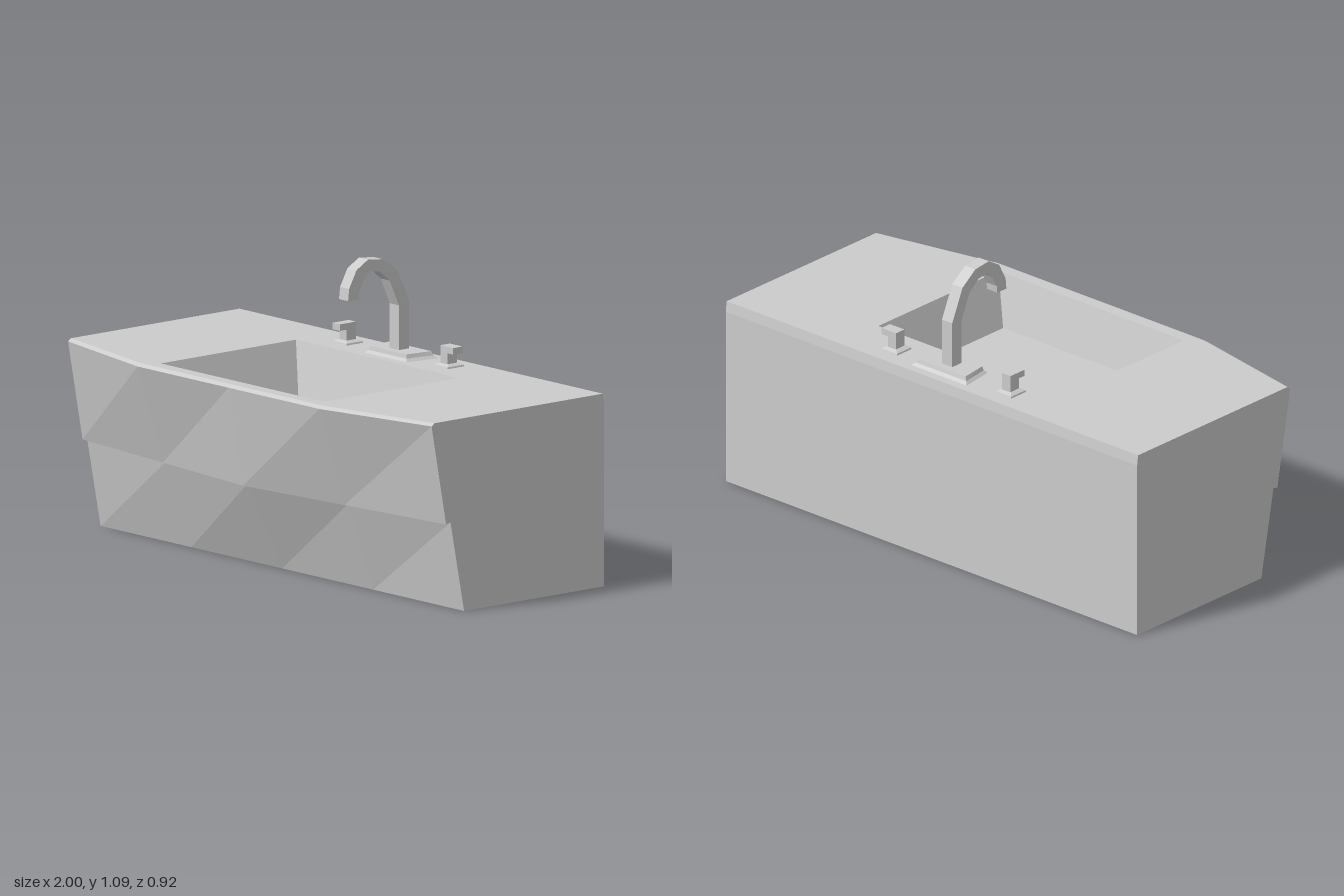
import * as THREE from 'three';

const material = new THREE.MeshStandardMaterial({ color: 0xcccccc, flatShading: true });

function addMesh(parent, geometry, name) {
  const mesh = new THREE.Mesh(geometry, material);
  mesh.name = name;
  parent.add(mesh);
  return mesh;
}

// Flat-faced geometry from a list of triangle corners
function fromTriangles(points) {
  const geometry = new THREE.BufferGeometry().setFromPoints(points);
  geometry.computeVertexNormals();
  return geometry;
}

const quad = (a, b, c, d) => [a, b, c, a, c, d];

// Four-sided rings [y, halfFront, halfBack, zFront, zBack] joined, last one capped
function loftRings(rings) {
  const corners = rings.map(([y, hf, hb, zf, zb]) => [
    new THREE.Vector3(-hf, y, zf), new THREE.Vector3(hf, y, zf),
    new THREE.Vector3(hb, y, zb), new THREE.Vector3(-hb, y, zb),
  ]);
  const tris = [];
  for (let k = 0; k + 1 < corners.length; k++) {
    const [p, q] = [corners[k], corners[k + 1]];
    for (let i = 0; i < 4; i++) {
      const n = (i + 1) % 4;
      tris.push(...quad(p[i], p[n], q[n], q[i]));
    }
  }
  tris.push(...quad(...corners[corners.length - 1]));
  return fromTriangles(tris);
}

function box(parent, name, w, h, d, x, y, z) {
  addMesh(parent, new THREE.BoxGeometry(w, h, d), name).position.set(x, y, z);
}

// Cabinet: side profiles (z, y) placed at five stations along x
const TOP = 0.71;
const stations = [[-1, 0, 0], [-0.5, 0.5, 1], [0, 1, 1], [0.5, 0.5, 1], [1, 0, 0]];

function profile(lowBulge, topBulge) {
  return [
    [-0.462, 0], [0.205, 0],
    [0.27 + 0.1 * lowBulge, 0.335], [0.291 + 0.101 * lowBulge, 0.33],
    [0.36 + 0.102 * topBulge, 0.7], [0.345 + 0.1 * topBulge, TOP],
    [-0.457, TOP], [-0.462, 0.67],
  ];
}

function cabinetGeometry() {
  const sections = stations.map(([x, low, top]) =>
    profile(low, top).map(([z, y]) => new THREE.Vector3(x, y, z)));
  const tris = [];
  for (let s = 0; s + 1 < sections.length; s++) {
    const [p, q] = [sections[s], sections[s + 1]];
    for (let j = 0; j < p.length; j++) {
      if (j === 5) continue; // the countertop closes this strip
      const n = (j + 1) % p.length;
      tris.push(...quad(p[j], q[j], q[n], p[n]));
    }
  }
  // End panels
  const contour = profile(0, 0).map(([z, y]) => new THREE.Vector2(z, y));
  const [left, right] = [sections[4], sections[0]];
  for (const [a, b, c] of THREE.ShapeUtils.triangulateShape(contour, [])) {
    tris.push(right[a], right[b], right[c], left[a], left[c], left[b]);
  }
  return fromTriangles(tris);
}

// Countertop with the basin opening cut out
function countertopGeometry() {
  const v = (x, z) => new THREE.Vector2(x, -z);
  const shape = new THREE.Shape([
    v(-1, 0.345), v(-0.5, 0.445), v(0.5, 0.445), v(1, 0.345), v(1, -0.457), v(-1, -0.457),
  ]);
  shape.holes.push(new THREE.Path([v(-0.45, 0.395), v(-0.45, -0.25), v(0.45, -0.25), v(0.45, 0.395)]));
  return new THREE.ShapeGeometry(shape).rotateX(-Math.PI / 2).translate(0, TOP, 0);
}

// Square-section gooseneck, outlined in (z, y) and extruded across x
function spoutGeometry() {
  const outer = [[-0.378, 0.73], [-0.378, 0.908], [-0.323, 1.03], [-0.254, 1.08],
    [-0.182, 1.088], [-0.127, 1.056], [-0.092, 0.992], [-0.087, 0.948]];
  const inner = [[-0.329, 0.73], [-0.329, 0.9], [-0.286, 0.997], [-0.237, 1.037],
    [-0.193, 1.044], [-0.164, 1.02], [-0.139, 0.975], [-0.136, 0.948]];
  const outline = [...outer, ...inner.reverse()].map(([z, y]) => new THREE.Vector2(-z, y));
  const geometry = new THREE.ExtrudeGeometry(new THREE.Shape(outline), { depth: 0.05, bevelEnabled: false });
  return geometry.translate(0, 0, -0.025).rotateY(Math.PI / 2);
}

// Tap handle on a small tapered foot; the lever points forward or sideways
function tapHandle(name, x, leverForward) {
  const group = new THREE.Group();
  group.name = name;
  group.position.set(x, TOP, -0.358);
  addMesh(group, loftRings([
    [0, 0.04, 0.04, 0.04, -0.04], [0.006, 0.038, 0.038, 0.038, -0.038], [0.013, 0.024, 0.024, 0.024, -0.024],
  ]), 'handleFoot');
  box(group, 'handlePost', 0.04, 0.077, 0.045, 0, 0.0385, 0);
  if (leverForward) box(group, 'handleLever', 0.04, 0.024, 0.032, 0, 0.065, 0.0385);
  else box(group, 'handleLever', 0.03, 0.024, 0.045, 0.035, 0.065, 0);
  return group;
}

export function createModel() {
  const model = new THREE.Group();
  model.name = 'washbasinVanity';

  addMesh(model, cabinetGeometry(), 'cabinet');
  addMesh(model, countertopGeometry(), 'countertop');
  addMesh(model, loftRings([
    [TOP, 0.45, 0.45, 0.395, -0.25], [0.52, 0.385, 0.385, 0.348, -0.205],
  ]), 'basin');

  // Faucet with its stepped base plate
  const faucet = new THREE.Group();
  faucet.name = 'faucet';
  addMesh(faucet, loftRings([
    [TOP, 0.115, 0.135, -0.287, -0.422], [0.72, 0.105, 0.122, -0.297, -0.41],
    [0.735, 0.1, 0.115, -0.3, -0.406],
  ]), 'faucetBase');
  addMesh(faucet, spoutGeometry(), 'spout');
  model.add(faucet);

  model.add(tapHandle('rightHandle', -0.29, true));
  model.add(tapHandle('leftHandle', 0.266, false));
  return model;
}
